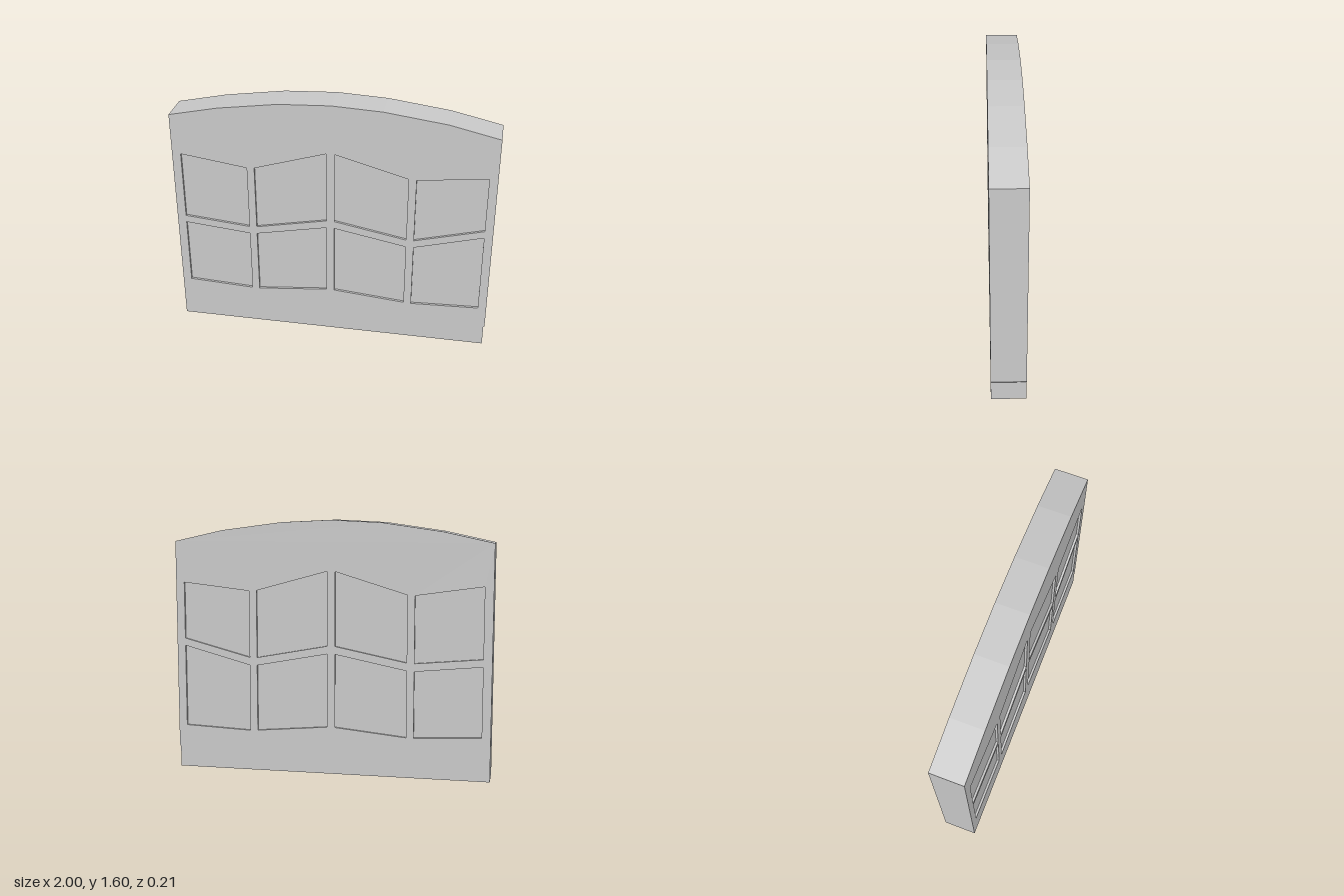
import * as THREE from 'three';

const DEPTH = 0.21;    // slab thickness
const RECESS = 0.015;  // how far the panels sit back on each face

// Slab silhouette: straight sides under a shallow faceted arch
const OUTLINE = [
  [-1, 0], [0.993, 0], [0.993, 0.13], [1, 0.14], [1, 1.46], [0.69, 1.53], [0.31, 1.58],
  [0, 1.595], [-0.32, 1.58], [-0.69, 1.527], [-1, 1.46],
];

// Per column: left x, right x, then rows of [bottom left, bottom right, top right, top left] heights
const COLUMNS = [
  { x: [-0.945, -0.527], rows: [[0.275, 0.255, 0.672, 0.713], [0.76, 0.722, 1.14, 1.2]] },
  { x: [-0.48, -0.03], rows: [[0.255, 0.3, 0.765, 0.675], [0.725, 0.815, 1.28, 1.143]] },
  { x: [0.02, 0.472], rows: [[0.3, 0.26, 0.68, 0.765], [0.815, 0.73, 1.155, 1.28]] },
  { x: [0.52, 0.947], rows: [[0.257, 0.275, 0.795, 0.68], [0.73, 0.842, 1.2, 1.152]] },
];

const toVectors = (points) => points.map(([x, y]) => new THREE.Vector2(x, y));

// Extrude a shape so that it is centred on z = 0
function slab(name, shape, depth, material) {
  const geometry = new THREE.ExtrudeGeometry(shape, { depth, bevelEnabled: false });
  geometry.translate(0, 0, -depth / 2);
  const mesh = new THREE.Mesh(geometry, material);
  mesh.name = name;
  return mesh;
}

export function createModel() {
  const model = new THREE.Group();
  model.name = 'archedPanelledSlab';
  const material = new THREE.MeshStandardMaterial({ color: 0xcccccc, flatShading: true });
  const frameShape = new THREE.Shape(toVectors(OUTLINE));

  // Recessed panels, sunk into matching openings on the front and back
  const panels = new THREE.Group();
  panels.name = 'recessedPanels';
  COLUMNS.forEach(({ x: [left, right], rows }, column) => {
    rows.forEach(([bl, br, tr, tl], row) => {
      const corners = toVectors([[left, bl], [right, br], [right, tr], [left, tl]]);
      frameShape.holes.push(new THREE.Path(corners));
      const name = `${row ? 'upper' : 'lower'}Panel${column + 1}`;
      panels.add(slab(name, new THREE.Shape(corners), DEPTH - 2 * RECESS, material));
    });
  });

  // Arched frame around the panels
  model.add(slab('archedFrame', frameShape, DEPTH, material), panels);
  return model;
}
